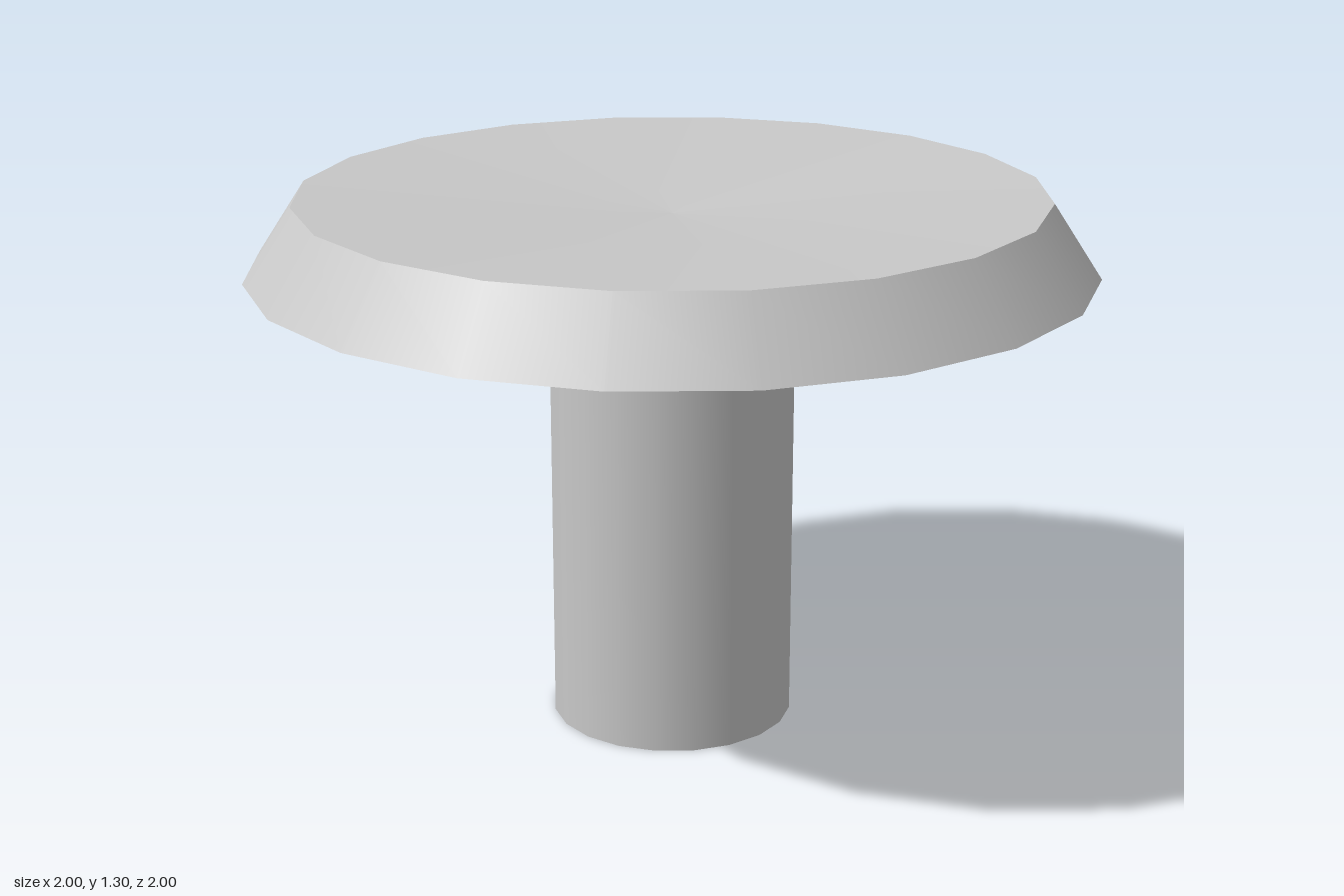
import * as THREE from 'three';

const SIDES = 20;

export function createModel() {
  const model = new THREE.Group();
  model.name = 'pedestalTable';

  const grey = new THREE.MeshStandardMaterial({ color: 0xc8c8c8, side: THREE.DoubleSide });
  grey.name = 'light grey';

  // One smooth band of revolution between two [radius, height] points
  const band = (name, from, to) => {
    const points = [from, to].map(([r, y]) => new THREE.Vector2(r, y));
    const mesh = new THREE.Mesh(new THREE.LatheGeometry(points, SIDES), grey);
    mesh.name = name;
    model.add(mesh);
  };

  const foot = [0.293, 0];
  const neck = [0.293, 0.945];
  const rim = [1, 1.121];
  const lip = [0.884, 1.296];
  const centre = [0, 1.246];

  band('stem', foot, neck); // hollow, open at the bottom
  band('underside', neck, rim);
  band('bevelledEdge', rim, lip);
  band('dishedTop', lip, centre); // very shallow hollow

  return model;
}
